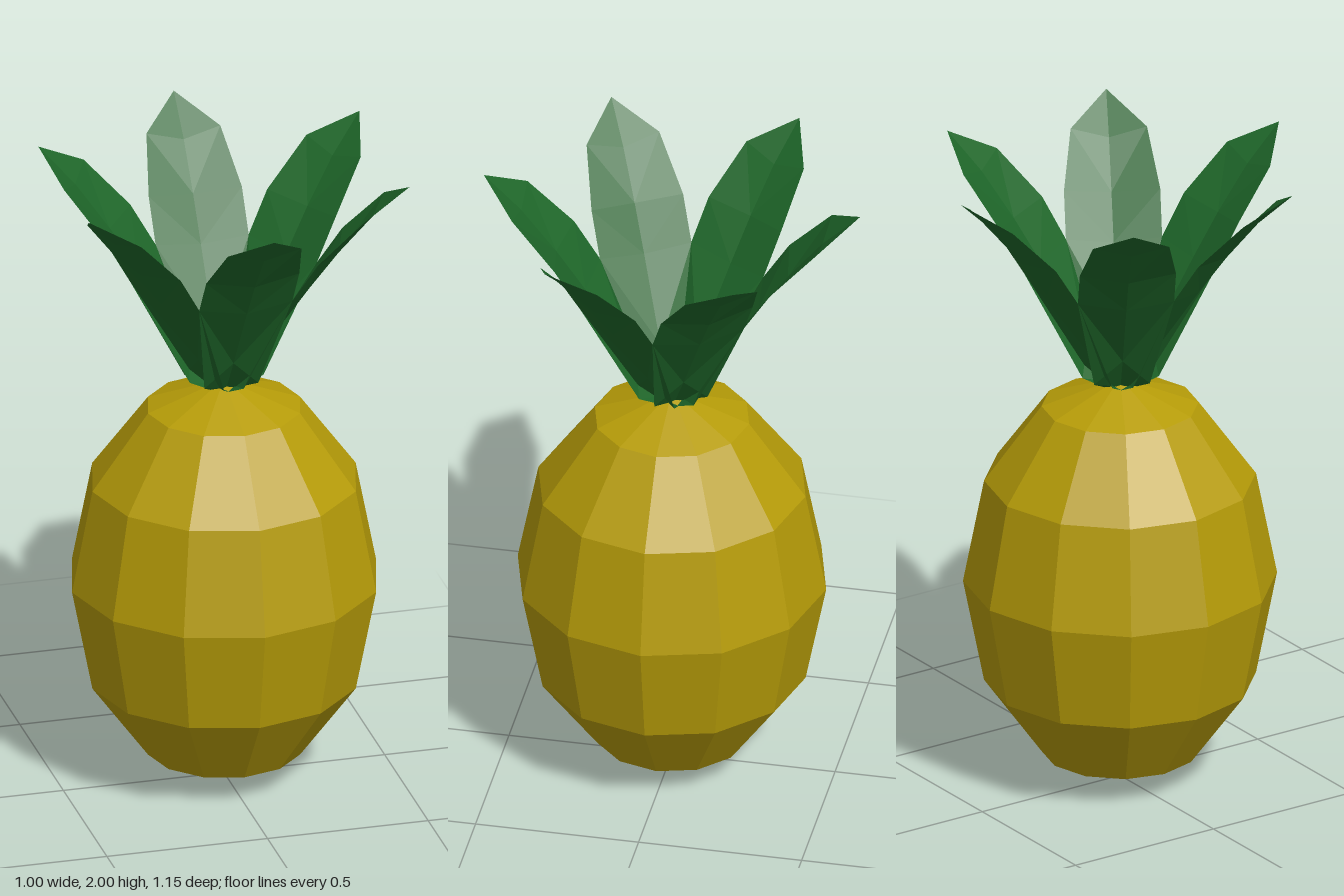
import * as THREE from 'three';

const skin = new THREE.MeshStandardMaterial({ color: 0xb69c08, flatShading: true });
skin.name = 'golden skin';
const green = new THREE.MeshStandardMaterial({ color: 0x1e6629, flatShading: true, side: THREE.DoubleSide });
green.name = 'leaf green';

// Cross-sections of a leaf: [edge reach, edge height, half width, rib reach, rib height]
const LEAF_ROWS = [
  [0.027, 1.283, 0.05, 0.027, 1.283],
  [0.084, 1.315, 0.084, 0.11, 1.4],
  [0.25, 1.65, 0.145, 0.265, 1.63],
  [0.33, 1.775, 0.145, 0.355, 1.757],
  [0.467, 1.92, 0.115, 0.462, 1.89],
];
const TIP = [0, 2, 0.577];

// Pointed leaf leaning towards +z, folded along its middle rib
function leafGeometry() {
  const points = [];
  const faces = [];
  for (const [z, y, w, ribZ, ribY] of LEAF_ROWS) {
    points.push(-w, y, z, 0, ribY, ribZ, w, y, z);
  }
  points.push(...TIP);
  const last = LEAF_ROWS.length - 1;
  for (let i = 0; i < last; i++) {
    const [l, c, r] = [i * 3, i * 3 + 1, i * 3 + 2];
    faces.push(l, c, l + 3, c, c + 3, l + 3); // left half
    faces.push(c, r, r + 3, c, r + 3, c + 3); // right half
  }
  const l = last * 3;
  const tip = l + 3;
  faces.push(l, l + 1, tip, l + 1, l + 2, tip);
  const geometry = new THREE.BufferGeometry();
  geometry.setAttribute('position', new THREE.Float32BufferAttribute(points, 3));
  geometry.setIndex(faces);
  const flat = geometry.toNonIndexed();
  flat.computeVertexNormals();
  return flat;
}

export function createModel() {
  const model = new THREE.Group();
  model.name = 'pineapple';

  // Faceted egg-shaped fruit
  const fruit = new THREE.Mesh(new THREE.SphereGeometry(0.473, 12, 6), skin);
  fruit.name = 'fruit';
  fruit.scale.y = 0.649 / 0.473;
  fruit.position.y = 0.653;
  model.add(fruit);

  // Crown of six leaves
  const crown = new THREE.Group();
  crown.name = 'crown';
  const geometry = leafGeometry();
  for (let i = 0; i < 6; i++) {
    const leaf = new THREE.Mesh(geometry, green);
    leaf.name = `leaf${i + 1}`;
    leaf.rotation.y = (i * Math.PI) / 3;
    crown.add(leaf);
  }
  model.add(crown);
  return model;
}
